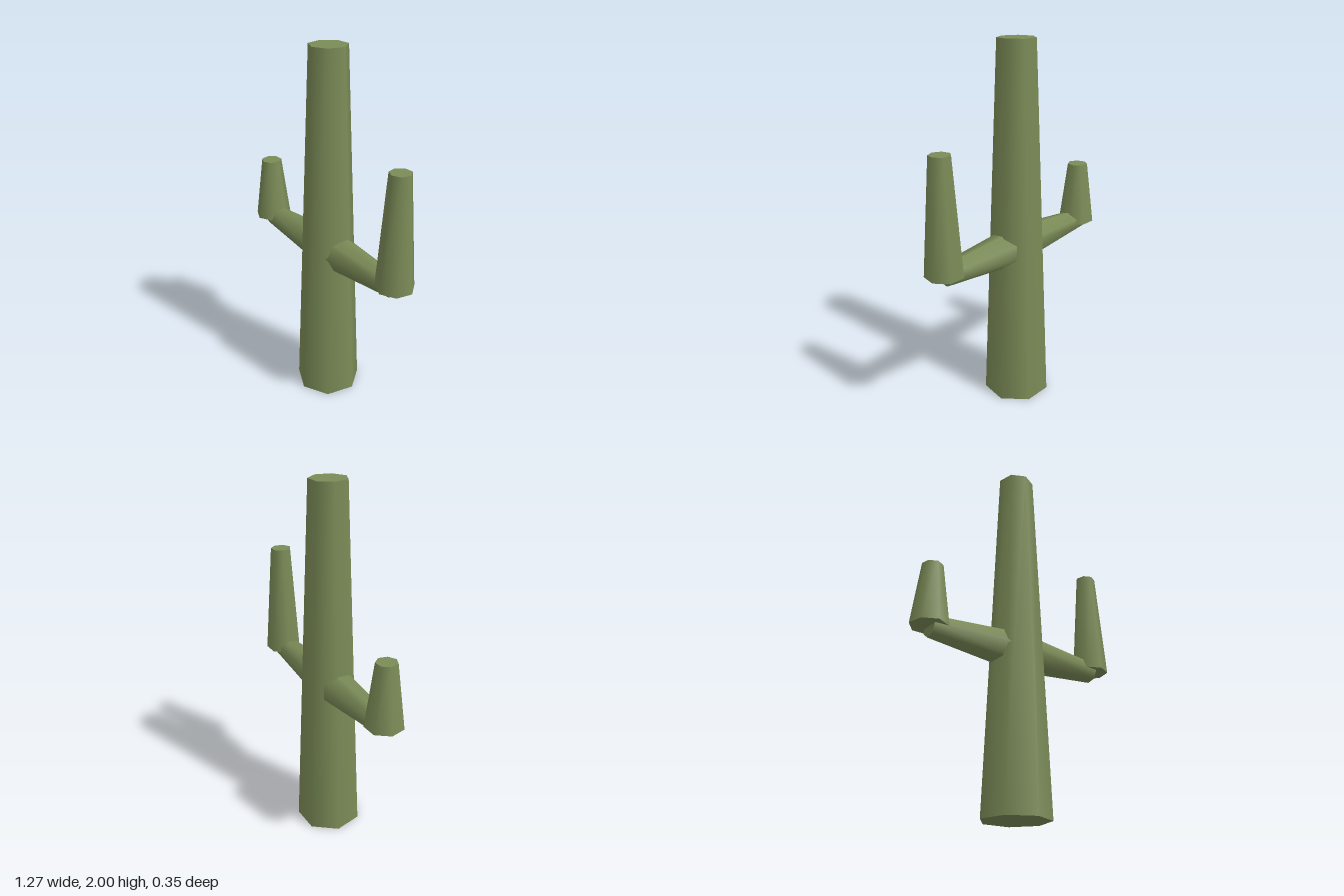
import * as THREE from 'three';

const SIDES = 7;
const Z = -0.009; // centres the seven-sided section in depth

export function createModel() {
  const group = new THREE.Group();
  const green = new THREE.MeshStandardMaterial({ color: 0x7b8b57 });

  // Tapered limb whose wide end sits at the given point
  const limb = (name, x, y, rBase, rTip, length, tilt = 0) => {
    const geometry = new THREE.CylinderGeometry(rTip, rBase, length, SIDES);
    geometry.translate(0, length / 2, 0);
    const mesh = new THREE.Mesh(geometry, green);
    mesh.name = name;
    mesh.position.set(x, y, Z);
    mesh.rotation.z = tilt;
    group.add(mesh);
  };

  limb('trunk', 0, 0, 0.184, 0.102, 2);

  // Each arm: a level branch from the trunk and an upright at its end
  for (const [side, label, height] of [[1, 'left', 0.617], [-1, 'right', 0.35]]) {
    limb(label + 'Branch', 0, 0.895, 0.108, 0.059, 0.533, -side * Math.PI / 2);
    limb(label + 'Upright', side * 0.534, 0.895, 0.103, 0.057, height);
  }
  return group;
}
